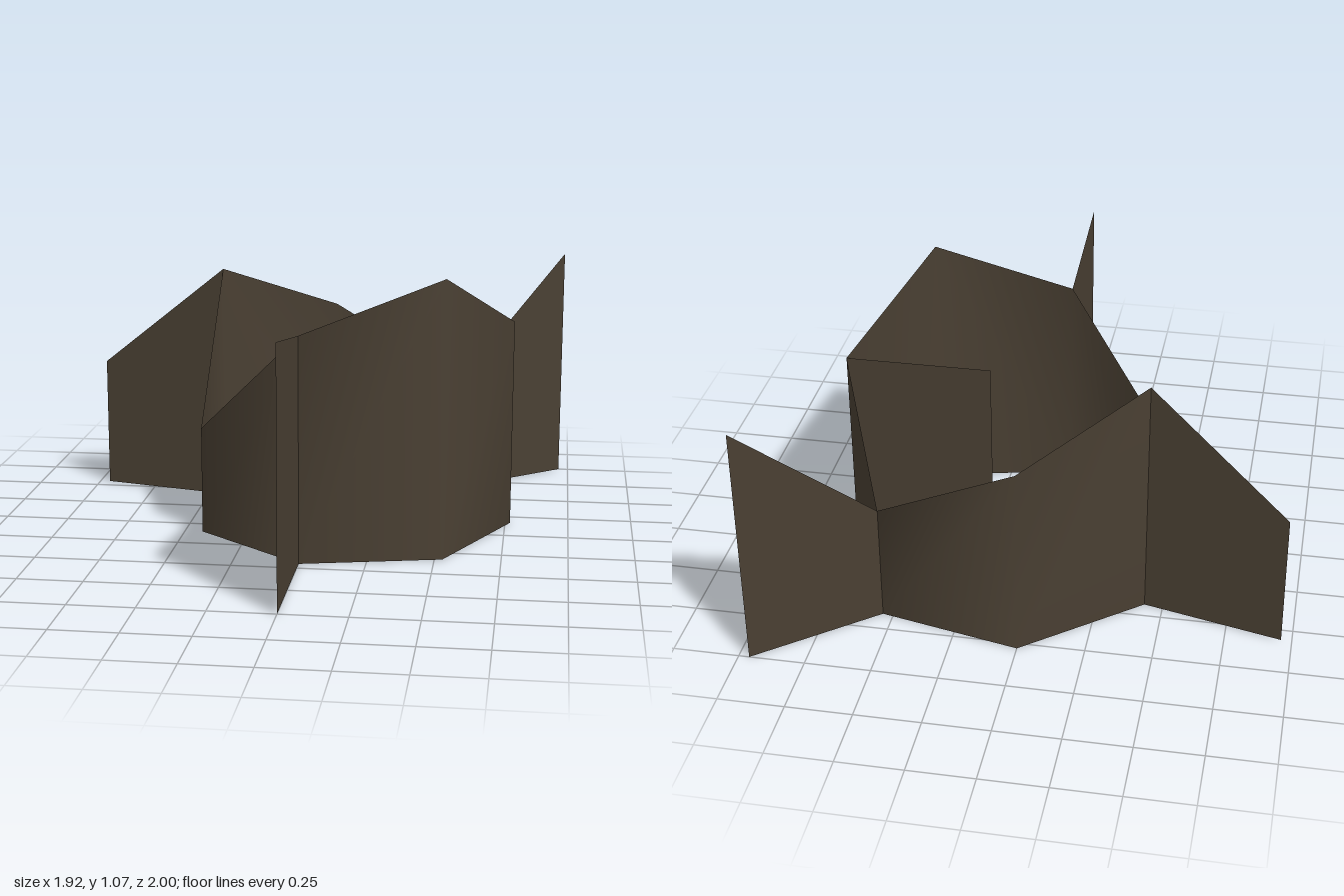
import * as THREE from 'three';

// Upright sheet standing on the ground: points are [x, z, height]
function wall(points, closed, material, name) {
  const pos = [], index = [], n = points.length;
  for (const [x, z, h] of points) pos.push(x, 0, z, x, h, z);
  const spans = closed ? n : n - 1;
  for (let i = 0; i < spans; i++) {
    const a = 2 * i, b = 2 * ((i + 1) % n);
    index.push(a, b, b + 1, a, b + 1, a + 1);
  }
  const geo = new THREE.BufferGeometry();
  geo.setAttribute('position', new THREE.Float32BufferAttribute(pos, 3));
  geo.setIndex(index);
  geo.computeVertexNormals();
  const mesh = new THREE.Mesh(geo, material);
  mesh.name = name;
  return mesh;
}

export function createModel() {
  const group = new THREE.Group();
  group.name = 'brokenStump';
  const bark = new THREE.MeshStandardMaterial({ color: 0x4a4033, side: THREE.DoubleSide });
  bark.name = 'dark bark brown';

  // Jagged ring, running front, left, back, right
  const ring = [
    [0, 0.45, 0.87],
    [0.53, 0.33, 1.07],
    [0.77, -0.17, 0.82],
    [0.54, -0.66, 0.47],
    [0, -0.78, 0.76],
    [-0.43, -0.43, 0.96],
    [-0.43, 0.10, 0.42],
  ];
  group.add(wall(ring, true, bark, 'jaggedRing'));

  // Fins branching off ring corners
  const fins = [
    ['frontFin', 0, [0, 1, 0.96]],
    ['innerFin', 2, [0.21, -0.17, 0.82]],
    ['backLeftFin', 3, [0.96, -1, 0.96]],
    ['rightFin', 5, [-0.96, -0.56, 0.53]],
  ];
  for (const [name, corner, tip] of fins) {
    group.add(wall([ring[corner], tip], false, bark, name));
  }
  return group;
}
